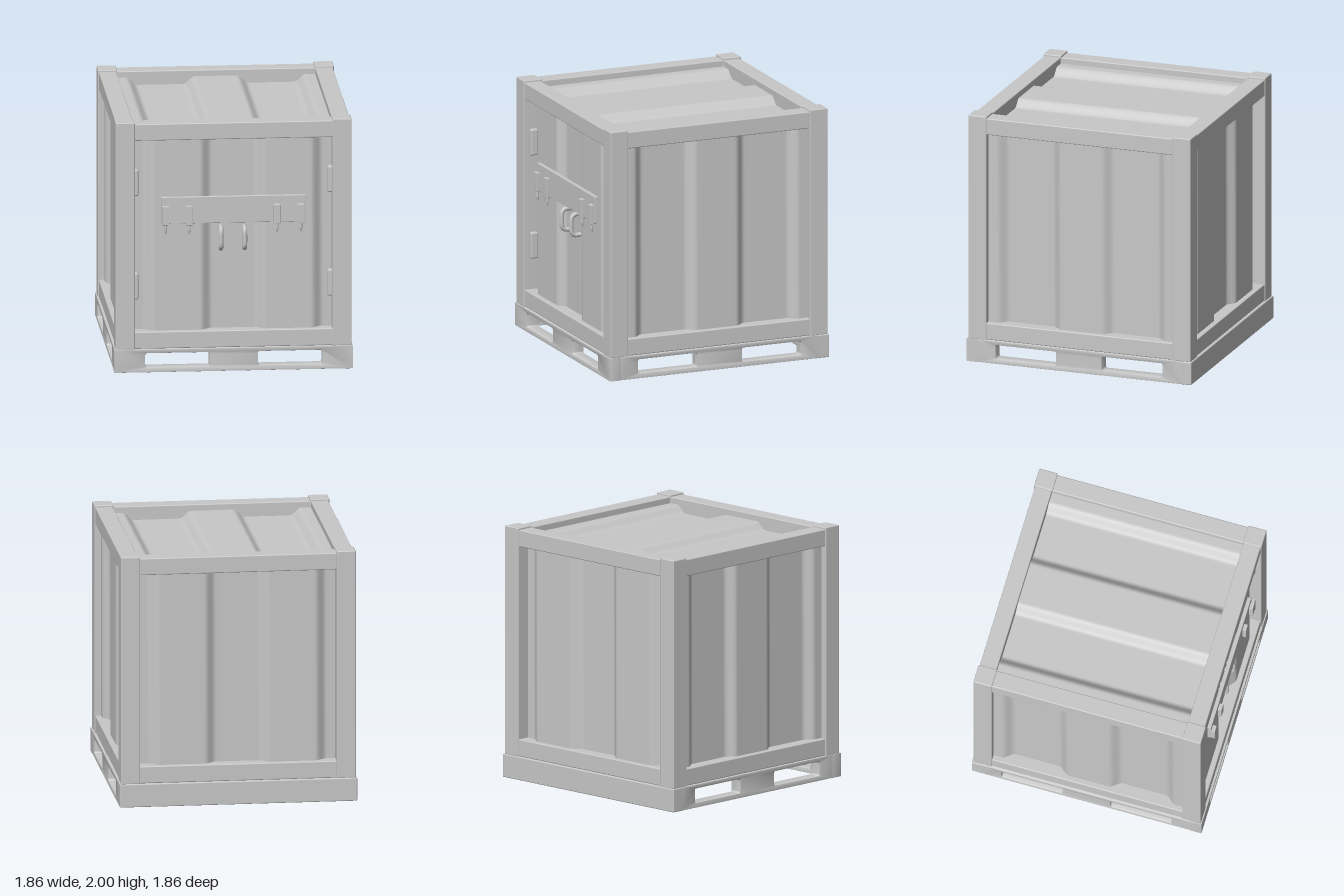
import * as THREE from 'three';
import { toCreasedNormals } from 'three/addons/utils/BufferGeometryUtils.js';
import { RoundedBoxGeometry } from 'three/addons/geometries/RoundedBoxGeometry.js';

const steel = new THREE.MeshStandardMaterial({ color: 0xc8c8c8 });
steel.name = 'grey steel';

function add(parent, name, geometry, x = 0, y = 0, z = 0) {
  const mesh = new THREE.Mesh(geometry, steel);
  mesh.name = name;
  mesh.position.set(x, y, z);
  parent.add(mesh);
  return mesh;
}

// Rounded box given by its extents on each axis
function block(parent, name, [x0, x1], [y0, y1], [z0, z1], r = 0.008) {
  return add(parent, name, new RoundedBoxGeometry(x1 - x0, y1 - y0, z1 - z0, 2, r),
    (x0 + x1) / 2, (y0 + y1) / 2, (z0 + z1) / 2);
}

// Corrugation height at u: 1 between |u| = 0.21 and 0.655, else 0, with soft ramps
function ridge(u) {
  const a = Math.abs(u), s = THREE.MathUtils.smoothstep;
  return s(a, 0.165, 0.255) - s(a, 0.61, 0.70);
}

// Corrugated sheet from u0 to u1, extruded along z and centred on it
function sheet(u0, u1, length, inner, outer, inverted) {
  const shape = new THREE.Shape();
  shape.moveTo(u0, inner - 0.04);
  shape.lineTo(u1, inner - 0.04);
  const steps = Math.round((u1 - u0) / 0.0125);
  for (let i = 0; i <= steps; i++) {
    const u = u1 + (u0 - u1) * i / steps;
    const k = inverted ? 1 - ridge(u) : ridge(u);
    shape.lineTo(u, inner + (outer - inner) * k);
  }
  const g = new THREE.ExtrudeGeometry(shape, { depth: length, bevelEnabled: false });
  g.translate(0, 0, -length / 2);
  return toCreasedNormals(g, 0.6);
}

// Upright wall sheet, turned about y to face its side
function wall(parent, name, u0, u1, turn, inverted) {
  const g = sheet(u0, u1, 1.60, 0.815, 0.87, inverted);
  g.rotateX(-Math.PI / 2);
  g.rotateY(turn);
  add(parent, name, g, 0, 1.09, 0);
}

// Pallet rail with two rounded fork slots
function slottedRail(length) {
  const b = 0.006, h = length / 2 - b;
  const shape = new THREE.Shape();
  shape.moveTo(-h, b);
  shape.lineTo(h, b);
  shape.lineTo(h, 0.185 - b);
  shape.lineTo(-h, 0.185 - b);
  shape.closePath();
  for (const c of [-0.44, 0.44]) {
    const hole = new THREE.Path();
    const x = 0.25 + b, y0 = 0.04 - b, y1 = 0.153 + b, r = 0.02;
    hole.moveTo(c - x + r, y0);
    hole.lineTo(c + x - r, y0);
    hole.absarc(c + x - r, y0 + r, r, -Math.PI / 2, 0);
    hole.absarc(c + x - r, y1 - r, r, 0, Math.PI / 2);
    hole.absarc(c - x + r, y1 - r, r, Math.PI / 2, Math.PI);
    hole.absarc(c - x + r, y0 + r, r, Math.PI, Math.PI * 1.5);
    shape.holes.push(hole);
  }
  const g = new THREE.ExtrudeGeometry(shape, {
    depth: 0.1 - 2 * b, bevelThickness: b, bevelSize: b, bevelSegments: 2, curveSegments: 5,
  });
  g.translate(0, 0, -0.05 + b);
  return toCreasedNormals(g, 0.6);
}

export function createModel() {
  const model = new THREE.Group();
  model.name = 'storageContainer';

  // Pallet base: slots in the front and both sides, plain back
  const base = new THREE.Group();
  base.name = 'palletBase';
  model.add(base);
  add(base, 'frontRail', slottedRail(1.86), 0, 0, 0.88);
  block(base, 'backRail', [-0.93, 0.93], [0, 0.185], [-0.93, -0.83]);
  for (const s of [-1, 1]) {
    add(base, 'sideRail', slottedRail(1.68), s * 0.88, 0, 0).rotation.y = Math.PI / 2;
  }
  block(base, 'floor', [-0.79, 0.79], [0.2, 0.26], [-0.79, 0.79]);

  // Frame: four corner posts with beams between them
  const frame = new THREE.Group();
  frame.name = 'frame';
  model.add(frame);
  const range = (s, a, b) => (s > 0 ? [a, b] : [-b, -a]);
  for (const s of [-1, 1]) {
    for (const t of [-1, 1]) {
      block(frame, 'cornerPost', range(s, 0.77, 0.92), [0.182, 2], range(t, 0.77, 0.92));
    }
    for (const [name, y] of [['bottom', [0.185, 0.32]], ['top', [1.852, 1.985]]]) {
      block(frame, name + 'CrossBeam', [-0.78, 0.78], y, range(s, 0.775, 0.912));
      block(frame, name + 'SideBeam', range(s, 0.775, 0.912), y, [-0.78, 0.78]);
    }
  }

  // Corrugated walls, roof and the pair of doors
  wall(model, 'backWall', -0.78, 0.78, 0, false);
  wall(model, 'rightWall', -0.78, 0.78, Math.PI / 2, true);
  wall(model, 'leftWall', -0.78, 0.78, -Math.PI / 2, true);
  wall(model, 'leftDoor', -0.78, -0.005, Math.PI, false);
  wall(model, 'rightDoor', 0.005, 0.78, Math.PI, false);
  block(model, 'doorSeal', [-0.03, 0.03], [0.3, 1.88], [0.76, 0.785]);
  add(model, 'roof', sheet(-0.78, 0.78, 1.58, 1.875, 1.935, true));

  // Hinges at the outer door edges
  for (const s of [-1, 1]) {
    for (const y of [0.57, 1.4]) {
      block(model, 'hinge', range(s, 0.738, 0.785), [y, y + 0.21], [0.81, 0.872], 0.012);
    }
  }

  // Locking bar with brackets and pointed pins
  const lock = new THREE.Group();
  lock.name = 'lockingBar';
  model.add(lock);
  block(lock, 'bar', [-0.563, 0.563], [1.18, 1.392], [0.868, 0.9], 0.004);
  for (const x of [-0.53, -0.345, 0.34, 0.525]) {
    block(lock, 'bracket', [x - 0.027, x + 0.027], [1.172, 1.325], [0.88, 0.93], 0.004);
    add(lock, 'pin', new THREE.CylinderGeometry(0.011, 0.011, 0.05, 12), x, 1.153, 0.908);
    add(lock, 'pinTip', new THREE.CylinderGeometry(0.011, 0.004, 0.028, 12), x, 1.114, 0.908);
  }

  // Bowed door handles
  for (const x of [-0.095, 0.09]) {
    const path = new THREE.CatmullRomCurve3([
      [1.132, 0.805], [1.132, 0.865], [1.11, 0.888], [1.05, 0.893], [0.99, 0.888], [0.968, 0.865], [0.968, 0.805],
    ].map(([y, z]) => new THREE.Vector3(x, y, z)));
    add(model, 'handle', new THREE.TubeGeometry(path, 36, 0.018, 12));
  }
  return model;
}
